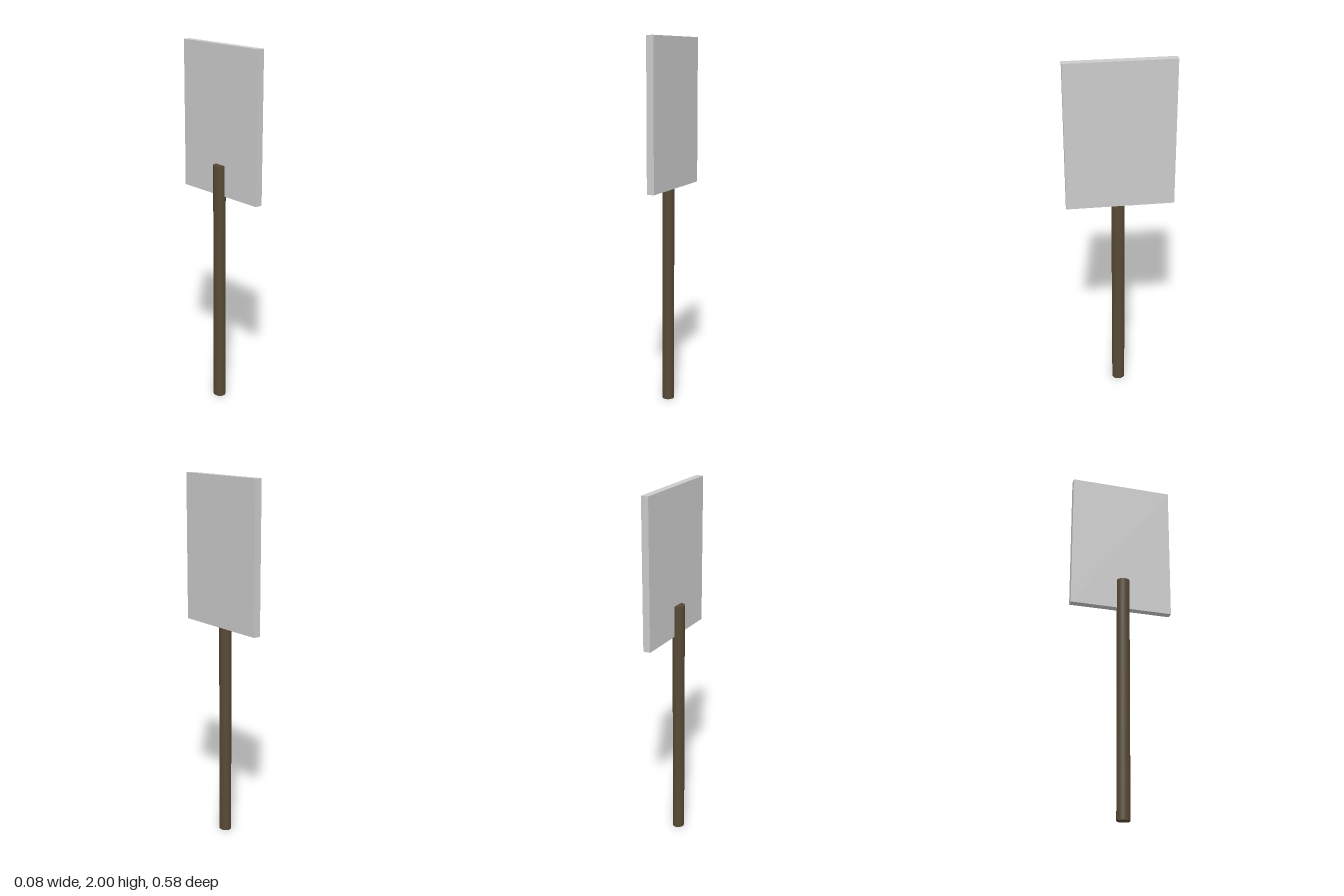
import * as THREE from 'three';

export function createModel() {
  const group = new THREE.Group();

  // Flat sign panel, facing sideways
  const panel = new THREE.Mesh(
    new THREE.BoxGeometry(0.04, 0.805, 0.578),
    new THREE.MeshStandardMaterial({ color: 0xcccccc })
  );
  panel.name = 'signPanel';
  panel.position.set(0.018, 1.5975, -0.001);
  group.add(panel);

  // Slightly oval wooden post, partly sunk into the panel
  const height = 1.365;
  const post = new THREE.Mesh(
    new THREE.CylinderGeometry(1, 1, height, 32).scale(0.032, 1, 0.036),
    new THREE.MeshStandardMaterial({ color: 0x574935 })
  );
  post.name = 'post';
  post.position.set(-0.008, height / 2, 0.007);
  group.add(post);

  return group;
}
